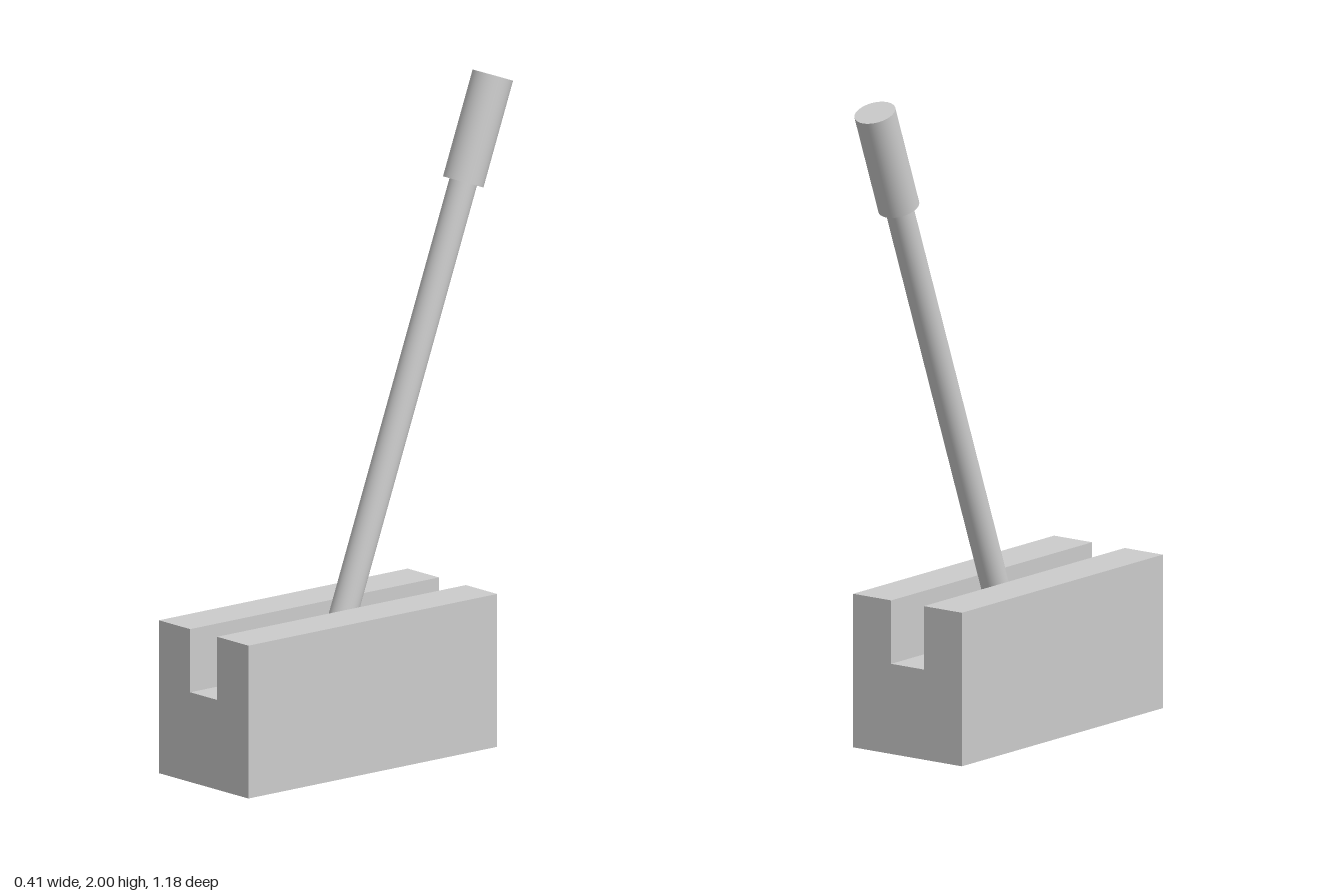
import * as THREE from 'three';

export function createModel() {
  const group = new THREE.Group();
  const material = new THREE.MeshStandardMaterial({ color: 0xcccccc });
  const add = (name, geometry, parent) => {
    const mesh = new THREE.Mesh(geometry, material);
    mesh.name = name;
    parent.add(mesh);
    return mesh;
  };

  // Block with a slot running along its full length
  const w = 0.203, h = 0.465, slot = 0.061, floor = 0.273;
  const back = -0.376, front = 0.59;
  const profile = new THREE.Shape([
    [-w, 0], [w, 0], [w, h], [slot, h], [slot, floor], [-slot, floor], [-slot, h], [-w, h],
  ].map(([x, y]) => new THREE.Vector2(x, y)));
  const block = new THREE.ExtrudeGeometry(profile, { depth: front - back, bevelEnabled: false });
  block.translate(0, 0, back);
  add('slottedBase', block, group);

  // Lever leaning backwards; its origin is the centre of the grip's top
  const lever = new THREE.Group();
  lever.name = 'lever';
  lever.position.set(0, 1.979, -0.533);
  lever.rotation.x = THREE.MathUtils.degToRad(-20.6);
  group.add(lever);

  const gripLength = 0.327, rodEnd = 1.84;
  const rod = add('leverRod', new THREE.CylinderGeometry(0.042, 0.042, rodEnd - 0.1, 48), lever);
  rod.position.y = -(rodEnd + 0.1) / 2;
  const grip = add('leverGrip', new THREE.CylinderGeometry(0.062, 0.062, gripLength, 48), lever);
  grip.position.y = -gripLength / 2;

  return group;
}
